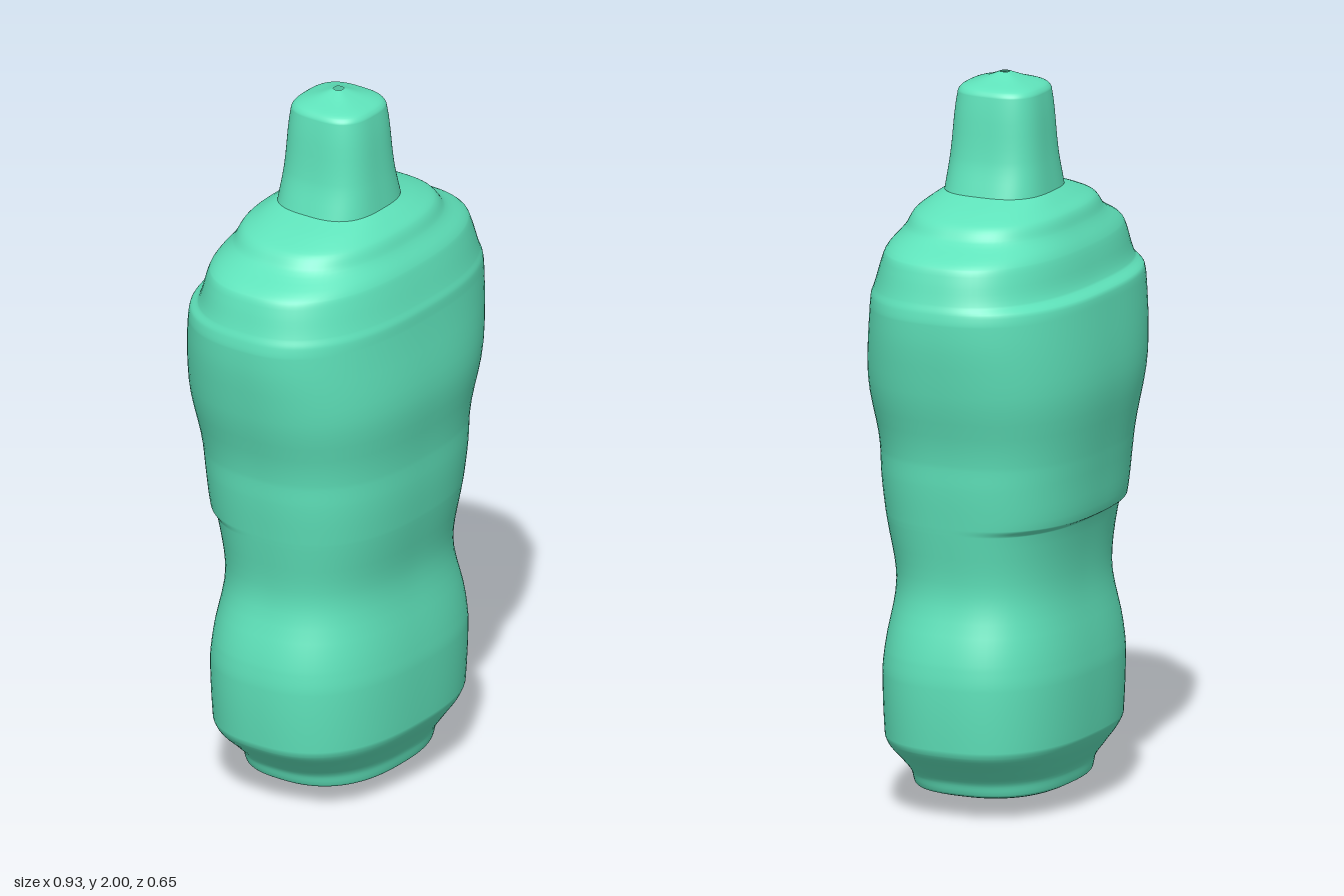
import * as THREE from 'three';

const SIDES = 96;
const STEPS = 5;      // rings between two listed sections
const CENTRE_Z = 0.01;

// Sections: height, half width, front z, back z
const bodySections = [
  [0.0, 0.012, 0.022, -0.002],
  [0.02, 0.06, 0.06, -0.04],
  [0.04, 0.15, 0.13, -0.11],
  [0.063, 0.27, 0.218, -0.188],
  [0.07, 0.277, 0.222, -0.193],
  [0.10, 0.288, 0.228, -0.198],
  [0.14, 0.325, 0.25, -0.222],
  [0.19, 0.375, 0.28, -0.253],
  [0.21, 0.382, 0.286, -0.26],
  [0.38, 0.392, 0.29, -0.264],
  [0.45, 0.385, 0.284, -0.258],
  [0.63, 0.343, 0.26, -0.234],
  [0.80, 0.366, 0.285, -0.253],
  [0.82, 0.369, 0.288, -0.278],
  [0.93, 0.383, 0.298, -0.29],
  [1.0, 0.388, 0.3, -0.298],
  [1.2, 0.437, 0.324, -0.324],
  [1.4, 0.464, 0.306, -0.308],
  [1.43, 0.46, 0.304, -0.303],
  [1.455, 0.451, 0.296, -0.272],
  [1.53, 0.43, 0.275, -0.25],
  [1.55, 0.42, 0.268, -0.243],
  [1.6, 0.33, 0.235, -0.213],
  [1.635, 0.298, 0.218, -0.197],
  [1.66, 0.24, 0.19, -0.165],
  [1.685, 0.157, 0.156, -0.132],
];
const spoutSections = [
  [1.685, 0.157, 0.156, -0.132],
  [1.78, 0.133, 0.145, -0.121],
  [1.95, 0.115, 0.127, -0.105],
  [1.965, 0.105, 0.117, -0.095],
  [1.985, 0.05, 0.06, -0.04],
  [2.0, 0.013, 0.023, -0.003],
];

// Smooth interpolation of one column without overshoot
function sample(rows, k, i, t) {
  const gap = (j) => rows[j + 1][0] - rows[j][0];
  const rate = (j) => (rows[j + 1][k] - rows[j][k]) / gap(j);
  const slope = (j) => {
    if (j === 0) return rate(0);
    if (j === rows.length - 1) return rate(j - 1);
    const p = rate(j - 1), q = rate(j);
    return p * q <= 0 ? 0 : (2 * p * q) / (p + q);
  };
  const h = gap(i), t2 = t * t, t3 = t2 * t;
  return (2 * t3 - 3 * t2 + 1) * rows[i][k] + (t3 - 2 * t2 + t) * h * slope(i)
    + (3 * t2 - 2 * t3) * rows[i + 1][k] + (t3 - t2) * h * slope(i + 1);
}

// Loft of rounded-rectangle rings through the sections
function loft(rows, squareness) {
  const pos = [], index = [];
  let rings = 0;
  const addRing = (i, t) => {
    const y = rows[i][0] + t * (rows[i + 1][0] - rows[i][0]);
    const [w, front, back] = [1, 2, 3].map((k) => sample(rows, k, i, t));
    for (let s = 0; s < SIDES; s++) {
      const a = (s / SIDES) * Math.PI * 2;
      const c = Math.cos(a), d = Math.sin(a);
      const r = (Math.abs(c) ** squareness + Math.abs(d) ** squareness) ** (-1 / squareness);
      const depth = d > 0 ? front - CENTRE_Z : CENTRE_Z - back;
      pos.push(w * r * c, y, CENTRE_Z + depth * r * d);
    }
    rings++;
  };
  for (let i = 0; i < rows.length - 1; i++) {
    for (let j = 0; j < STEPS; j++) addRing(i, j / STEPS);
  }
  addRing(rows.length - 2, 1);
  for (let r = 0; r < rings - 1; r++) {
    for (let s = 0; s < SIDES; s++) {
      const n = (s + 1) % SIDES;
      const a = r * SIDES + s, b = r * SIDES + n;
      index.push(a, a + SIDES, b, b, a + SIDES, b + SIDES);
    }
  }
  const geo = new THREE.BufferGeometry();
  geo.setAttribute('position', new THREE.Float32BufferAttribute(pos, 3));
  geo.setIndex(index);
  geo.computeVertexNormals();
  return geo;
}

export function createModel() {
  const group = new THREE.Group();
  group.name = 'bottle';
  const green = new THREE.MeshStandardMaterial({ color: 0x5fe3bb, side: THREE.DoubleSide });
  green.name = 'mint green';

  // Contoured body, open at the small holes in base and spout
  const body = new THREE.Mesh(loft(bodySections, 2.55), green);
  body.name = 'body';
  // Tapered spout
  const spout = new THREE.Mesh(loft(spoutSections, 2.9), green);
  spout.name = 'spout';
  group.add(body, spout);
  return group;
}
